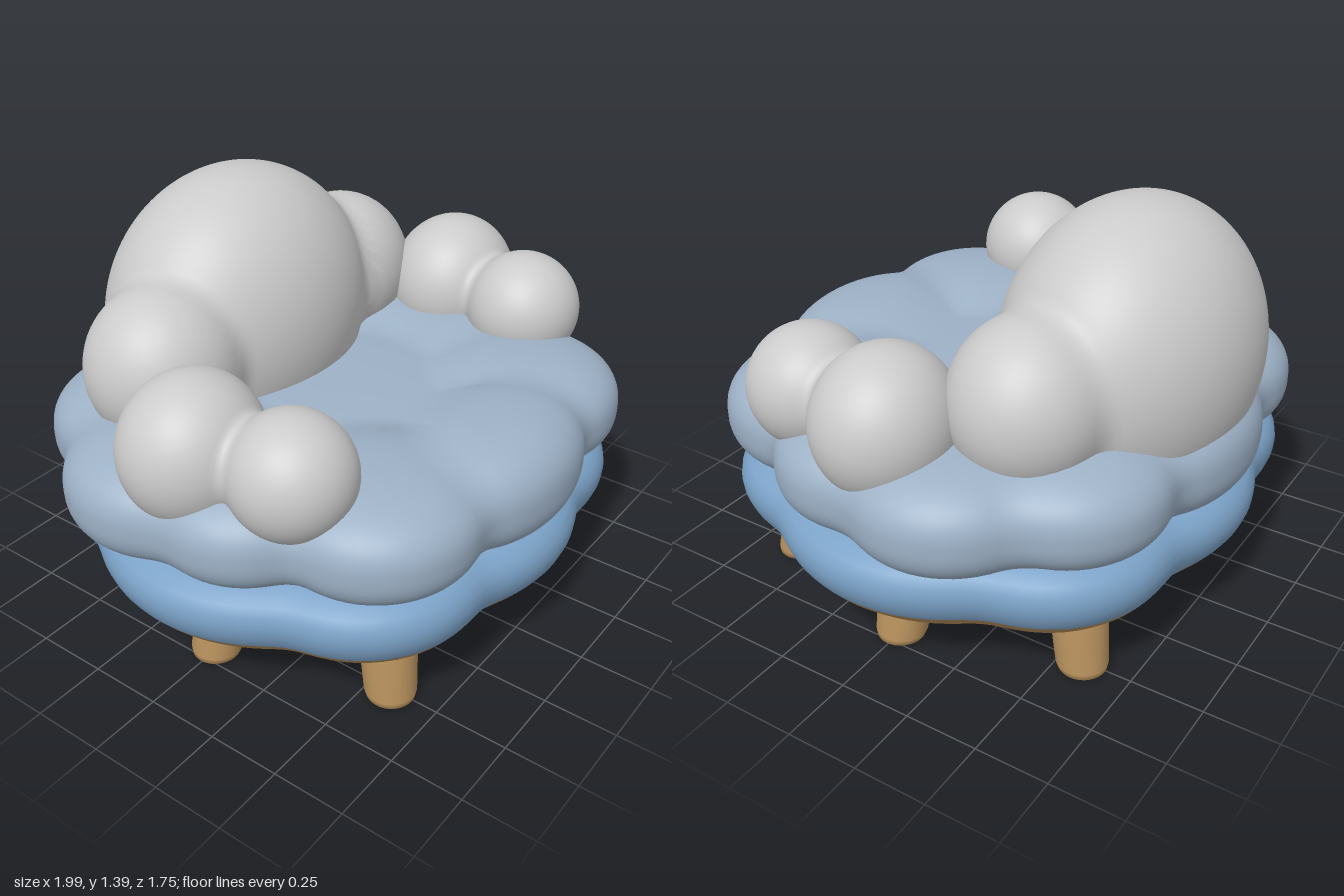
import * as THREE from 'three';

const paint = {
  puff: new THREE.MeshStandardMaterial({ color: 0xc2c4c6 }),
  cushion: new THREE.MeshStandardMaterial({ color: 0x9db1c6 }),
  base: new THREE.MeshStandardMaterial({ color: 0x7ca3c8 }),
  wood: new THREE.MeshStandardMaterial({ color: 0xb58f5c }),
};

// Smoothly blended field of ellipsoids [x, y, z, rx, ry, rz]; power > 2 gives fuller sides
function field(parts, blend, power) {
  return (p) => {
    let d = Infinity;
    for (const [x, y, z, rx, ry, rz] of parts) {
      const flat = Math.hypot((p.x - x) / rx, (p.z - z) / rz);
      const f = Math.pow(Math.pow(flat, power) + Math.pow(Math.abs(p.y - y) / ry, power), 1 / power);
      const e = (f - 1) * Math.min(rx, ry, rz);
      if (d === Infinity) { d = e; continue; }
      const h = Math.max(blend - Math.abs(d - e), 0) / blend;
      d = Math.min(d, e) - h * h * blend / 4;
    }
    return d;
  };
}

// Shrink-wraps a sphere onto the field, along rays from a centre point
function blob(name, material, centre, parts, { blend = 0.05, power = 2, flatten = 1, detail = 96 } = {}) {
  const f = field(parts, blend, power);
  const geo = new THREE.SphereGeometry(1, detail, Math.round(detail * 0.65));
  const pos = geo.attributes.position, nor = geo.attributes.normal;
  const c = new THREE.Vector3(...centre), dir = new THREE.Vector3();
  const p = new THREE.Vector3(), q = new THREE.Vector3(), n = new THREE.Vector3();
  const at = (t) => p.copy(c).addScaledVector(dir, t);
  for (let i = 0; i < pos.count; i++) {
    dir.fromBufferAttribute(pos, i);
    dir.y *= flatten;
    let hi = 1.4;
    while (hi > 0.03 && f(at(hi)) > 0) hi -= 0.02;
    let lo = hi;
    hi += 0.02;
    for (let k = 0; k < 12; k++) {
      const mid = (lo + hi) / 2;
      if (f(at(mid)) > 0) hi = mid; else lo = mid;
    }
    at(lo);
    const slope = (axis) => {
      const e = 0.004;
      q.copy(p); q[axis] += e;
      const a = f(q);
      q[axis] -= 2 * e;
      return a - f(q);
    };
    n.set(slope('x'), slope('y'), slope('z')).normalize();
    pos.setXYZ(i, p.x, p.y, p.z);
    nor.setXYZ(i, n.x, n.y, n.z);
  }
  const mesh = new THREE.Mesh(geo, material);
  mesh.name = name;
  return mesh;
}

const mirrored = (list) => list.flatMap(([x, ...rest]) => [[x, ...rest], [-x, ...rest]]);

// Scalloped outline of the base: smooth union of circles [x, z, radius], in polar form
const lobes = [
  [0, 0.31, 0.565], [0, -0.31, 0.565],
  ...mirrored([[0.39, 0.38, 0.42], [0.39, -0.38, 0.42], [0.39, 0, 0.58]]),
];
function outline(angle) {
  const ux = Math.sin(angle), uz = Math.cos(angle), k = 45;
  let sum = 0;
  for (const [x, z, r] of lobes) {
    const along = x * ux + z * uz, across = x * uz - z * ux;
    const s = r * r - across * across;
    if (s > 0) sum += Math.exp(k * (along + Math.sqrt(s)));
  }
  return Math.log(sum) / k - 0.005;
}

// Lofts a profile of [inset, y] around the scalloped outline; inset 1 means the centre
function scalloped(name, material, profile) {
  const geo = new THREE.PlaneGeometry(1, 1, 144, profile.length - 1);
  const pos = geo.attributes.position;
  for (let j = 0, i = 0; j < profile.length; j++) {
    for (let s = 0; s <= 144; s++, i++) {
      const a = (s / 144) * Math.PI * 2;
      const [inset, y] = profile[j];
      const r = inset === 1 ? 0 : outline(a) - inset;
      pos.setXYZ(i, Math.sin(a) * r, y, Math.cos(a) * r);
    }
  }
  geo.computeVertexNormals();
  // Average the normals across the seam
  const nor = geo.attributes.normal;
  for (let j = 0; j < profile.length; j++) {
    const a = j * 145, b = a + 144;
    const n = new THREE.Vector3().fromBufferAttribute(nor, a)
      .add(new THREE.Vector3().fromBufferAttribute(nor, b)).normalize();
    nor.setXYZ(a, n.x, n.y, n.z);
    nor.setXYZ(b, n.x, n.y, n.z);
  }
  const mesh = new THREE.Mesh(geo, material);
  mesh.name = name;
  return mesh;
}

// Tapered leg with a rounded foot, sheared outward towards the floor
function leg(x, z) {
  const profile = [[0, 0], [0.065, 0], [0.08, 0.006], [0.086, 0.025], [0.096, 0.2], [0.098, 0.27]];
  const geo = new THREE.LatheGeometry(profile.map(([r, y]) => new THREE.Vector2(r, y)), 32);
  const lean = 0.26 / Math.hypot(x, z);
  geo.applyMatrix4(new THREE.Matrix4().set(
    1, -x * lean, 0, x,
    0, 1, 0, 0,
    0, -z * lean, 1, z,
    0, 0, 0, 1));
  const mesh = new THREE.Mesh(geo, paint.wood);
  mesh.name = 'leg';
  return mesh;
}

export function createModel() {
  const model = new THREE.Group();
  model.name = 'puffySofa';

  // Base: blue band above, wooden underside below
  model.add(scalloped('baseBand', paint.base, [
    [1, 0.49], [0.25, 0.49], [0.12, 0.485], [0.06, 0.468], [0.025, 0.44], [0.006, 0.41],
    [0, 0.375], [0.004, 0.34], [0.018, 0.305], [0.035, 0.28],
  ]));
  model.add(scalloped('baseUnderside', paint.wood, [
    [0.035, 0.28], [0.06, 0.25], [0.09, 0.222], [0.125, 0.204], [0.17, 0.197], [0.22, 0.196], [1, 0.196],
  ]));

  // Seat cushion: ring of plump lobes around a sunken middle
  model.add(blob('seatCushion', paint.cushion, [0, 0.6, 0], [
    [0, 0.59, 0, 0.72, 0.16, 0.66],
    [0, 0.62, 0.6, 0.4, 0.195, 0.275],
    [0, 0.61, -0.6, 0.4, 0.19, 0.275],
    ...mirrored([
      [0.44, 0.615, 0.46, 0.345, 0.185, 0.345],
      [0.44, 0.615, -0.46, 0.345, 0.185, 0.345],
      [0.62, 0.615, 0.12, 0.33, 0.18, 0.32],
      [0.635, 0.61, -0.19, 0.36, 0.19, 0.35],
    ]),
  ], { blend: 0.035, power: 2.5, flatten: 0.32, detail: 180 }));

  // Backrest: large dome with a puff at each side
  model.add(blob('backrest', paint.puff, [0, 0.88, -0.42], [
    [0, 0.89, -0.45, 0.52, 0.5, 0.41],
    ...mirrored([[0.475, 0.885, -0.36, 0.275, 0.275, 0.255]]),
  ], { blend: 0.04, detail: 128 }));

  // Armrests: two puffs each
  for (const [side, name] of [[1, 'leftArmrest'], [-1, 'rightArmrest']]) {
    model.add(blob(name, paint.puff, [side * 0.7, 0.83, 0.16], [
      [side * 0.73, 0.83, -0.01, 0.245, 0.245, 0.225],
      [side * 0.675, 0.83, 0.325, 0.203, 0.203, 0.203],
    ], { blend: 0.04 }));
  }

  // Six splayed legs
  for (const side of [1, -1]) {
    for (const [x, z] of [[0.515, 0.585], [0.695, 0], [0.515, -0.585]]) model.add(leg(side * x, z));
  }
  return model;
}
